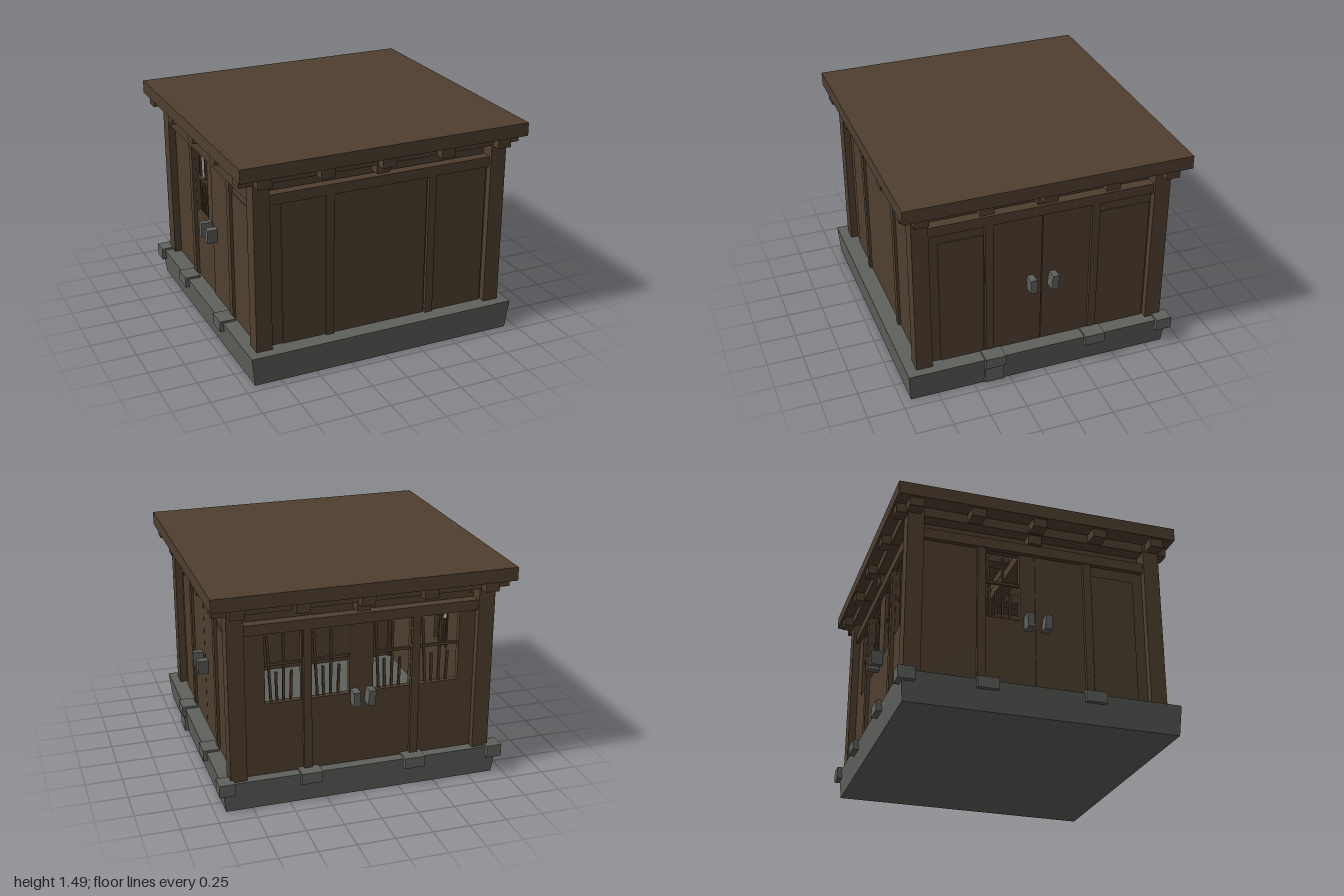
import * as THREE from 'three';

const wood = new THREE.MeshStandardMaterial({ color: 0x4f3f2f, flatShading: true });
wood.name = 'dark wood';
const stone = new THREE.MeshStandardMaterial({ color: 0x5f615d, flatShading: true });
stone.name = 'grey stone';

// Box given by its limits on each axis
function box(parent, name, mat, [x0, x1], [y0, y1], [z0, z1]) {
  const m = new THREE.Mesh(new THREE.BoxGeometry(x1 - x0, y1 - y0, z1 - z0), mat);
  m.position.set((x0 + x1) / 2, (y0 + y1) / 2, (z0 + z1) / 2);
  m.name = name;
  parent.add(m);
  return m;
}

// Rectangular window opening
function hole([u0, u1]) {
  const p = new THREE.Path();
  p.moveTo(u0, 0.7);
  p.lineTo(u0, 1.18);
  p.lineTo(u1, 1.18);
  p.lineTo(u1, 0.7);
  p.closePath();
  return p;
}

// One wall in local space: x runs along it, +z points outward; d is the post face
function makeSide({ name, angle, d, half, windows = [], handles = [], panels = [] }) {
  const g = new THREE.Group();
  g.name = name;
  g.rotation.y = angle;
  const w = d - 0.05;

  // Wall board with window openings
  const s = new THREE.Shape();
  s.moveTo(-half + 0.05, 0.18);
  s.lineTo(half - 0.05, 0.18);
  s.lineTo(half - 0.05, 1.22);
  s.lineTo(-half + 0.05, 1.22);
  s.closePath();
  s.holes = windows.map(hole);
  const wall = new THREE.Mesh(
    new THREE.ExtrudeGeometry(s, { depth: 0.04, bevelEnabled: false }), wood);
  wall.position.z = w - 0.04;
  wall.name = 'wallBoard';
  g.add(wall);

  // Lintel, recessed frieze and dividing posts
  box(g, 'lintel', wood, [-half + 0.1, half - 0.1], [1.185, 1.255], [w - 0.04, w + 0.03]);
  box(g, 'frieze', wood, [-half + 0.1, half - 0.1], [1.24, 1.41], [w - 0.08, w - 0.05]);
  for (const u of [-0.365, 0.365]) {
    box(g, 'dividingPost', wood, [u - 0.027, u + 0.027], [0.18, 1.2], [w - 0.02, w + 0.025]);
  }

  // Raised panels
  for (const [u0, u1, top] of panels) {
    box(g, 'panel', wood, [u0, u1], [0.2, top], [w - 0.005, w + 0.008]);
  }

  // Window bars and leaning broken slats
  for (const [u0, u1] of windows) {
    const c = (u0 + u1) / 2;
    box(g, 'crossBar', wood, [u0, u1], [0.95, 0.968], [w - 0.03, w - 0.012]);
    for (let i = 0; i < 4; i++) {
      const u = u0 + (u1 - u0) * (i + 0.7) / 5;
      const slat = box(g, 'slat', wood, [u - 0.008, u + 0.008],
        [0.68, i % 2 ? 0.9 : 1.15], [w - 0.035, w - 0.02]);
      slat.rotation.z = (c - u) * 0.6;
    }
  }

  // Door pulls
  for (const u of handles) {
    const pull = box(g, 'doorPull', stone, [u - 0.023, u + 0.023], [0.63, 0.73], [w - 0.01, d + 0.03]);
    pull.rotation.z = u > 0 ? -0.1 : 0.03;
  }
  return g;
}

export function createModel() {
  const model = new THREE.Group();

  // Stone plinth, tapering slightly towards the ground
  const plinth = box(model, 'plinth', stone, [-0.95, 0.95], [0, 0.2], [-0.89, 0.95]);
  const p = plinth.geometry.attributes.position;
  for (let i = 0; i < p.count; i++) {
    if (p.getY(i) < 0) {
      p.setX(i, p.getX(i) * 0.975);
      p.setZ(i, p.getZ(i) * 0.985);
    }
  }
  plinth.geometry.computeVertexNormals();

  // Footing blocks along the back and both sides
  for (const t of [-0.35, 0.36]) {
    for (const s of [-1, 1]) {
      const x = [s * 0.86, s * 0.972].sort((a, b) => a - b);
      box(model, 'footingBlock', stone, x, [0.14, 0.215], [t - 0.07, t + 0.07]);
    }
    box(model, 'footingBlock', stone, [t - 0.07, t + 0.07], [0.14, 0.215], [-0.925, -0.82]);
  }
  for (const s of [-1, 1]) {
    const x = [s * 0.87, s * 0.975].sort((a, b) => a - b);
    box(model, 'cornerStone', stone, x, [0.13, 0.215], [-0.92, -0.81]);
  }
  // Full height stone on the right-hand plinth
  box(model, 'plinthStone', stone, [0.86, 0.958], [0.02, 0.21], [0.3, 0.43]);

  // Corner posts
  for (const x of [-0.835, 0.835]) {
    for (const z of [-0.815, 0.825]) {
      box(model, 'cornerPost', wood, [x - 0.055, x + 0.055], [0.19, 1.41], [z - 0.055, z + 0.055]);
    }
  }

  // Four walls
  model.add(makeSide({ name: 'frontWall', angle: 0, d: 0.88, half: 0.89,
    panels: [[-0.69, -0.39, 1.18], [-0.335, 0.33, 1.18], [0.39, 0.77, 1.18]] }));
  model.add(makeSide({ name: 'leftWall', angle: Math.PI / 2, d: 0.89, half: 0.875,
    handles: [-0.08, 0.07],
    panels: [[-0.7, -0.4, 1.11], [-0.335, -0.003, 1.18], [0.003, 0.335, 1.18], [0.4, 0.75, 1.11]] }));
  model.add(makeSide({ name: 'backWall', angle: Math.PI, d: 0.87, half: 0.89,
    handles: [-0.05, 0.05],
    windows: [[-0.64, -0.4], [-0.335, -0.08], [0.08, 0.335], [0.4, 0.67]] }));
  model.add(makeSide({ name: 'rightWall', angle: -Math.PI / 2, d: 0.89, half: 0.875,
    handles: [-0.05, 0.07], windows: [[-0.335, -0.1]],
    panels: [[0.003, 0.335, 1.18], [0.4, 0.7, 1.11]] }));

  // Rafter ends under the eaves, crossing in both directions
  for (const t of [-0.835, -0.42, 0, 0.42, 0.835]) {
    const low = t === 0 ? 1.27 : 1.335;
    box(model, 'rafter', wood, [t - 0.047, t + 0.047], [1.335, 1.41], [-0.945, 0.945]);
    box(model, 'crossRafter', wood, [-0.98, 0.98], [1.34, 1.41], [t - 0.047, t + 0.047]);
    if (t === 0) {
      box(model, 'kingBlock', wood, [-0.045, 0.045], [low, 1.36], [-0.86, 0.86]);
      box(model, 'kingBlock', wood, [-0.87, 0.87], [low, 1.36], [-0.045, 0.045]);
    }
  }

  // Flat roof slab
  box(model, 'roof', wood, [-1, 1], [1.4, 1.49], [-0.96, 0.96]);

  return model;
}
